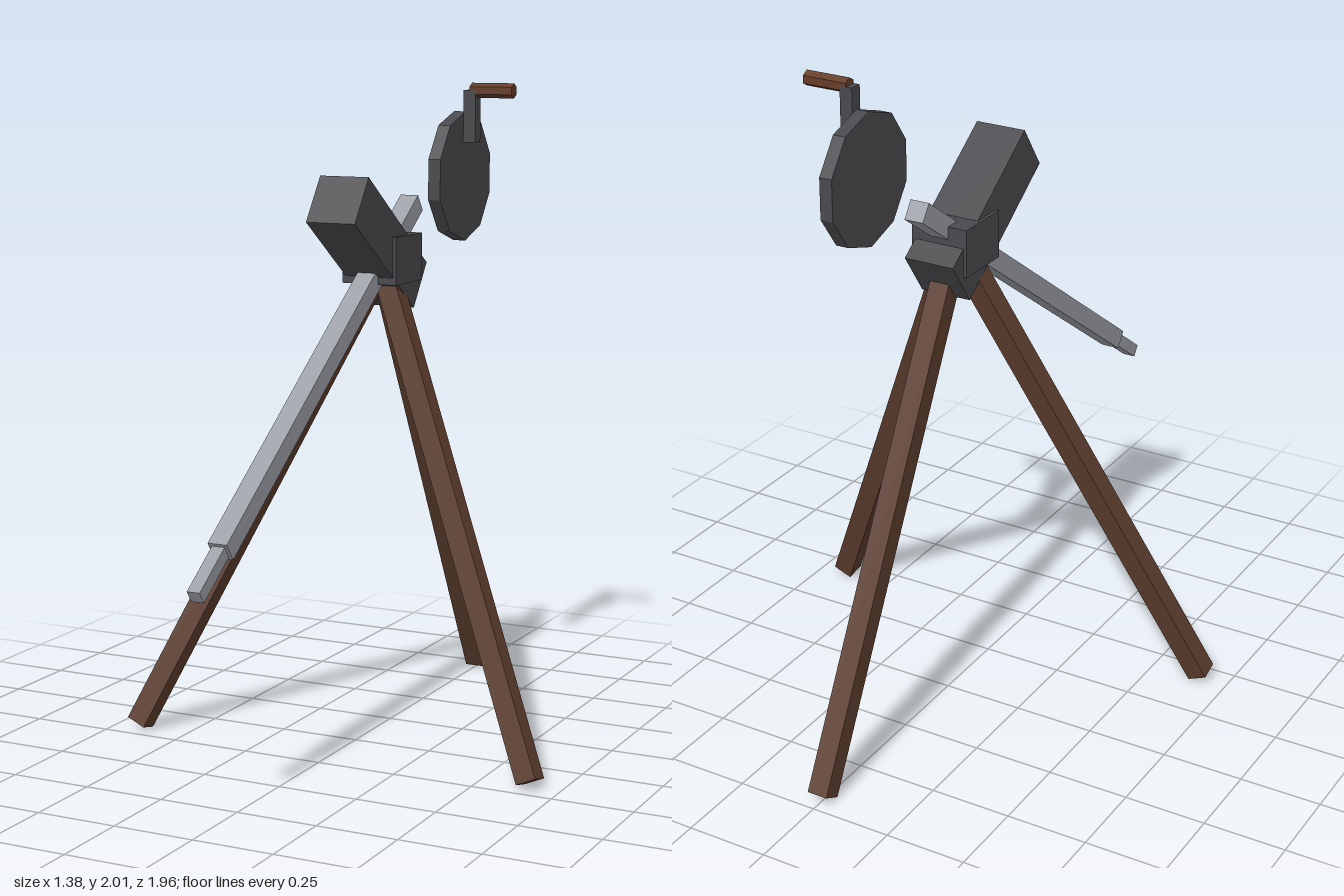
import * as THREE from 'three';

export function createModel() {
  const model = new THREE.Group();
  const material = (name, color) => {
    const m = new THREE.MeshStandardMaterial({ color, flatShading: true });
    m.name = name;
    return m;
  };
  const wood = material('dark wood', 0x5c3d2e);
  const gripWood = material('grip wood', 0x653c29);
  const iron = material('dark iron', 0x4a4a4e);
  const steel = material('light steel', 0x9c9fa6);

  const add = (name, geometry, mat, x, y, z) => {
    const mesh = new THREE.Mesh(geometry, mat);
    mesh.name = name;
    mesh.position.set(x, y, z);
    model.add(mesh);
    return mesh;
  };
  const box = (name, mat, w, h, d, x, y, z) =>
    add(name, new THREE.BoxGeometry(w, h, d), mat, x, y, z);

  // Tripod: one leg to the back, two spread to the front
  const apex = new THREE.Vector3(0, 1.47, -0.19);
  const up = new THREE.Vector3(0, 1, 0);
  [['backLeg', Math.PI], ['leftLeg', Math.PI / 3], ['rightLeg', -Math.PI / 3]].forEach(([name, a]) => {
    const foot = new THREE.Vector3(0.762 * Math.sin(a), 0.015, apex.z + 0.762 * Math.cos(a));
    const span = apex.clone().sub(foot);
    const mid = apex.clone().add(foot).multiplyScalar(0.5);
    const leg = box(name, wood, 0.064, span.length(), 0.064, mid.x, mid.y, mid.z);
    leg.quaternion.setFromUnitVectors(up, span.normalize());
  });

  // Mount block and tilted body
  const tilt = THREE.MathUtils.degToRad(35.2);
  box('mount', iron, 0.18, 0.145, 0.185, 0, 1.475, -0.186);
  box('body', iron, 0.16, 0.16, 0.5, 0, 1.529, -0.085).rotation.x = -tilt;

  // Long bar with a thinner tip
  box('bar', steel, 0.06, 0.06, 1.5, 0, 1.196, 0.217).rotation.x = tilt;
  box('barTip', steel, 0.04, 0.04, 0.18, 0, 0.718, 0.894).rotation.x = tilt;

  // Ten-sided wheel on the left, with crank arm and grip
  const wheel = new THREE.CylinderGeometry(0.2, 0.2, 0.04, 10, 1, false, Math.PI / 2);
  add('wheel', wheel, iron, 0.143, 1.712, -0.441).rotation.z = Math.PI / 2;
  box('crankArm', iron, 0.04, 0.16, 0.04, 0.183, 1.898, -0.441);
  const grip = new THREE.CylinderGeometry(0.023, 0.023, 0.14, 6, 1, false, Math.PI / 2);
  add('crankGrip', grip, gripWood, 0.253, 1.977, -0.441).rotation.z = Math.PI / 2;

  return model;
}
